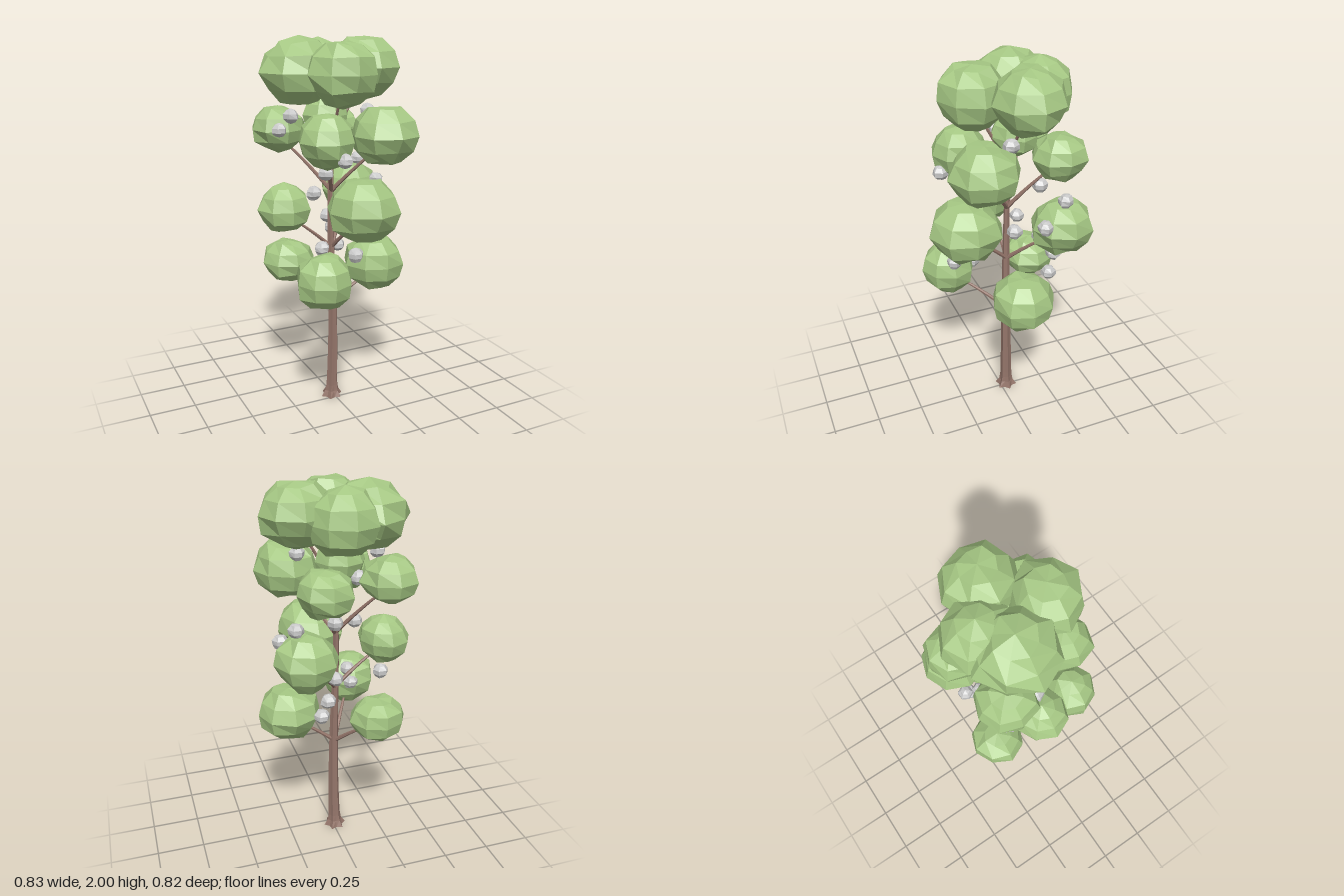
import * as THREE from 'three';

const leafMat = new THREE.MeshStandardMaterial({ color: 0xa6c884, flatShading: true });
const barkMat = new THREE.MeshStandardMaterial({ color: 0x94756a, flatShading: true });
const fruitMat = new THREE.MeshStandardMaterial({ color: 0xcccccc, flatShading: true });

const TRUNK_X = -0.01, TRUNK_Z = -0.035;

// Leaf clumps per tier: x, y, z, radius, half height
const tiers = [
  { fork: 0.56, clumps: [
    [0.245, 0.775, -0.02, 0.17, 0.148],
    [-0.18, 0.81, 0.245, 0.15, 0.145],
    [-0.18, 0.78, -0.24, 0.145, 0.12]] },
  { fork: 0.89, clumps: [
    [0.052, 1.145, 0.21, 0.185, 0.163],
    [0.2, 1.16, -0.25, 0.165, 0.148],
    [-0.28, 1.14, -0.035, 0.138, 0.125]] },
  { fork: 1.2, clumps: [
    [0.192, 1.51, 0.163, 0.172, 0.15],
    [-0.13, 1.5, 0.175, 0.145, 0.135],
    [-0.235, 1.52, -0.21, 0.15, 0.12],
    [0.11, 1.5, -0.265, 0.142, 0.12]] },
  { fork: 1.45, clumps: [
    [-0.156, 1.815, -0.106, 0.205, 0.168],
    [-0.007, 1.81, -0.199, 0.178, 0.165],
    [0.192, 1.835, -0.059, 0.182, 0.16],
    [-0.027, 1.815, 0.138, 0.18, 0.165],
    [-0.02, 1.6, -0.08, 0.125, 0.115]] },
];

const fruits = [
  [-0.25, 1.61, 0], [0.17, 1.62, 0.02], [-0.28, 1.53, -0.08],
  [-0.085, 1.53, -0.165], [-0.09, 1.42, 0.29], [-0.09, 1.32, 0.07],
  [0.25, 1.32, -0.24], [0.04, 1.32, -0.2], [-0.15, 1.22, 0.055],
  [0.3, 1.22, -0.11], [0.13, 1.13, -0.02], [-0.21, 1.02, -0.18],
  [0.04, 1.02, -0.2], [-0.12, 0.93, 0.085], [-0.015, 0.93, 0.26],
  [0.095, 0.93, -0.26], [0.12, 0.83, -0.225], [-0.15, 0.83, 0.11],
];

// Repeatable value from -1 to 1 for a direction and seed
function jitter(v, seed) {
  const [x, y, z] = [v.x, v.y, v.z].map((c) => Math.round(c * 100));
  const s = Math.sin(x * 1.27 + y * 3.11 + z * 7.47 + seed * 5.39) * 4375.85;
  return 2 * (s - Math.floor(s)) - 1;
}

// Faceted ball with each corner pushed in or out
function lumpyBall(radius, halfHeight, wide, high, seed, rough) {
  const geo = new THREE.SphereGeometry(1, wide, high);
  const pos = geo.attributes.position, v = new THREE.Vector3();
  for (let i = 0; i < pos.count; i++) {
    v.fromBufferAttribute(pos, i);
    v.multiplyScalar(1 + rough * jitter(v, seed));
    pos.setXYZ(i, v.x * radius, v.y * halfHeight, v.z * radius);
  }
  geo.computeVertexNormals();
  return geo;
}

// Tapering tube along a curve
function taperedTube(curve, r0, r1, sides) {
  const steps = 6, geo = new THREE.TubeGeometry(curve, steps, 1, sides);
  const pos = geo.attributes.position, v = new THREE.Vector3();
  for (let i = 0; i < pos.count; i++) {
    const t = Math.floor(i / (sides + 1)) / steps, c = curve.getPointAt(t);
    v.fromBufferAttribute(pos, i).sub(c).multiplyScalar(r0 + (r1 - r0) * t).add(c);
    pos.setXYZ(i, v.x, v.y, v.z);
  }
  geo.computeVertexNormals();
  return geo;
}

// Ribbed trunk: slender upwards, flaring into root lobes at the ground
function trunkGeometry() {
  const height = 1.65, sides = 12;
  const geo = new THREE.CylinderGeometry(1, 1, height, sides, 48);
  geo.translate(0, height / 2, 0);
  const pos = geo.attributes.position;
  for (let i = 0; i < pos.count; i++) {
    const x = pos.getX(i), y = pos.getY(i), z = pos.getZ(i);
    const a = Math.atan2(z, x), flare = Math.exp(-y / 0.025);
    const lobe = 1 + (0.09 + 0.1 * flare) * Math.cos(6 * a);
    const r = (0.031 - 0.0145 * y + 0.021 * flare) * lobe;
    pos.setXYZ(i, x * r + 0.006 * Math.sin(y * 4), y, z * r + 0.005 * Math.sin(y * 3));
  }
  geo.computeVertexNormals();
  return geo;
}

export function createModel() {
  const tree = new THREE.Group();
  tree.name = 'tree';
  const add = (geo, mat, name, x = 0, y = 0, z = 0) => {
    const mesh = new THREE.Mesh(geo, mat);
    mesh.name = name;
    mesh.position.set(x, y, z);
    tree.add(mesh);
  };

  add(trunkGeometry(), barkMat, 'trunk', TRUNK_X, 0, TRUNK_Z);

  // Each clump hangs on its own branch from the tier's fork
  let seed = 1;
  tiers.forEach(({ fork, clumps }) => clumps.forEach(([x, y, z, r, h]) => {
    add(lumpyBall(r, h, 8, 6, seed++, 0.08), leafMat, 'leafClump', x, y, z);
    const start = new THREE.Vector3(TRUNK_X, fork, TRUNK_Z);
    const end = new THREE.Vector3(x, y - h * 0.3, z);
    const mid = start.clone().lerp(end, 0.5);
    mid.y += 0.02;
    const curve = new THREE.QuadraticBezierCurve3(start, mid, end);
    add(taperedTube(curve, 0.012, 0.005, 6), barkMat, 'branch');
  }));

  fruits.forEach(([x, y, z], i) =>
    add(lumpyBall(0.042, 0.038, 6, 5, i + 30, 0.08), fruitMat, 'fruit', x, y, z));

  return tree;
}
